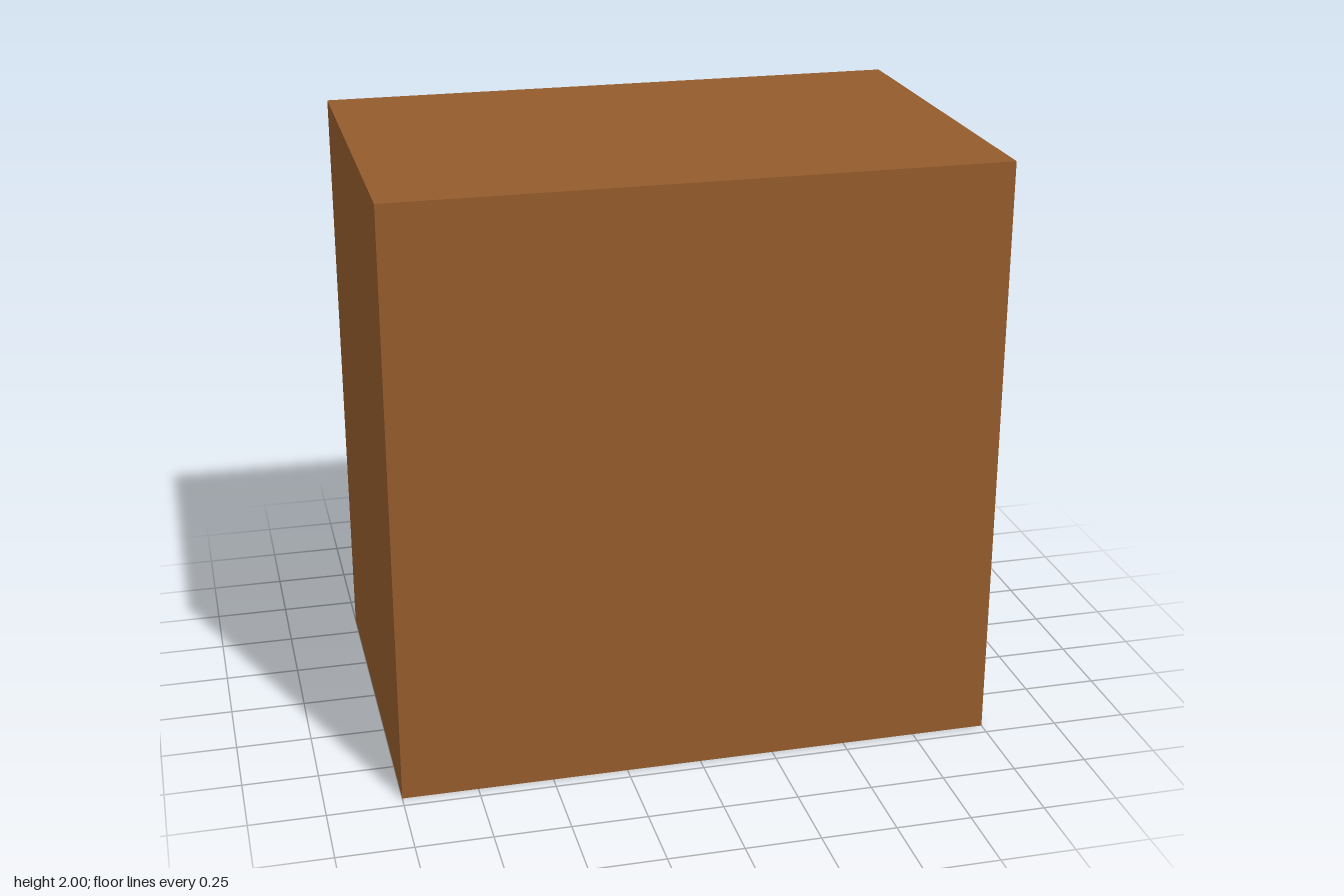
import * as THREE from 'three';

export function createModel() {
  const group = new THREE.Group();
  const wood = new THREE.MeshStandardMaterial({ color: 0x945c2c });
  wood.name = 'brown wood';
  const iron = new THREE.MeshStandardMaterial({ color: 0x26292c });
  iron.name = 'dark iron';
  iron.flatShading = true;

  const add = (name, geometry, material, x, y, z) => {
    const mesh = new THREE.Mesh(geometry, material);
    mesh.name = name;
    mesh.position.set(x, y, z);
    group.add(mesh);
    return mesh;
  };

  // Cabinet carcass; its doors are on the -z side
  const back = -0.598, front = 0.706, doorDepth = 0.021;
  add('cabinetBody', new THREE.BoxGeometry(2, 2, front - back), wood, 0, 1, (front + back) / 2);

  // Waisted knob profile, from the door outwards
  const profile = [
    [0, 0], [0.042, 0], [0.038, 0.012], [0.025, 0.036],
    [0.025, 0.046], [0.043, 0.081], [0.04, 0.087], [0, 0.087],
  ].map(([r, h]) => new THREE.Vector2(r, h));
  const knobGeometry = new THREE.LatheGeometry(profile, 8);
  const doorGeometry = new THREE.BoxGeometry(0.92, 1.92, doorDepth);

  // Mirrored doors and knobs
  for (const [side, s] of [['left', 1], ['right', -1]]) {
    add(side + 'Door', doorGeometry, wood, s * 0.5, 1, back - doorDepth / 2);
    const knob = add(side + 'Knob', knobGeometry, iron, s * 0.2, 0.3, back - doorDepth);
    knob.rotation.x = -Math.PI / 2;
  }
  return group;
}
